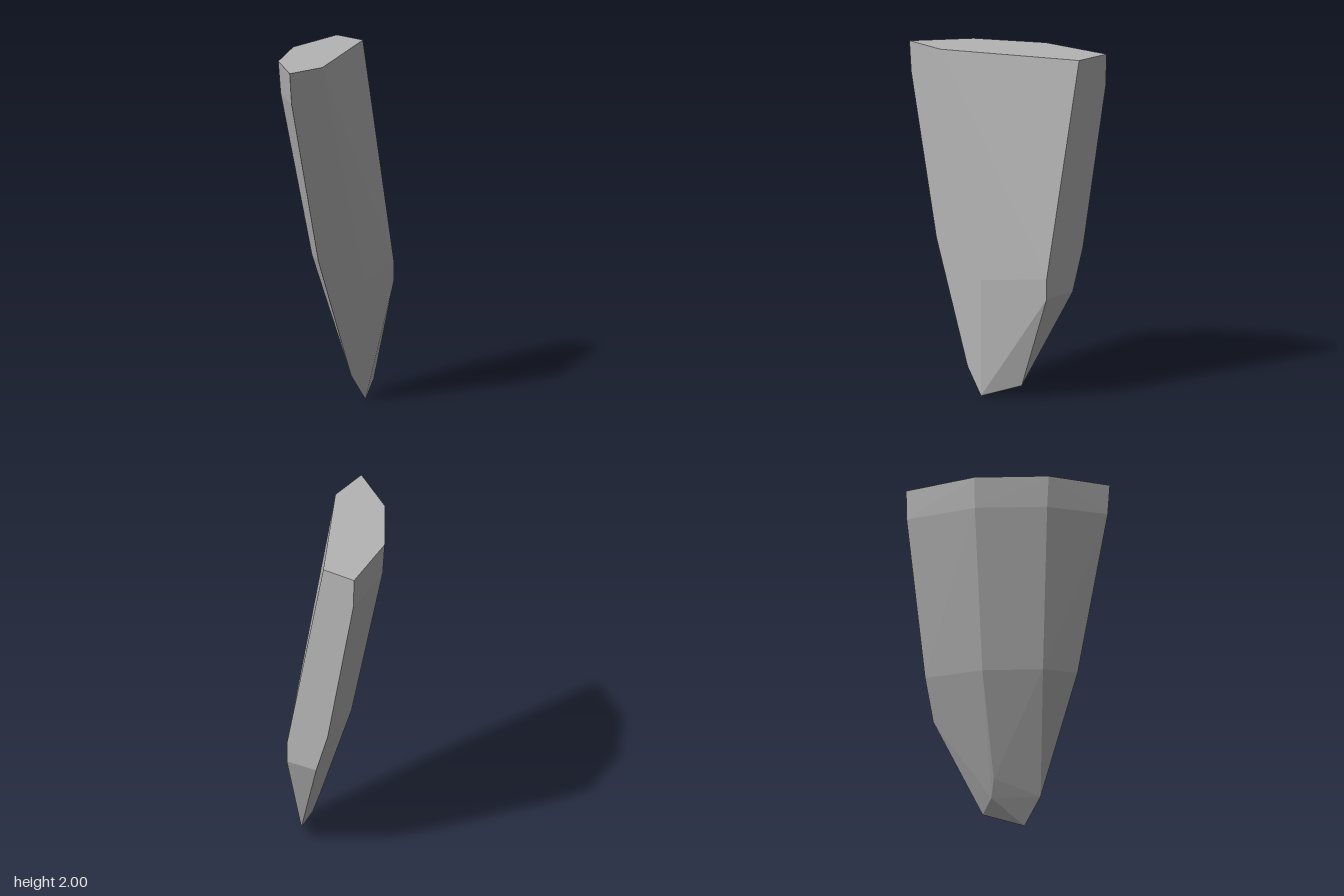
import * as THREE from 'three';
import { ConvexGeometry } from 'three/addons/geometries/ConvexGeometry.js';

// Corners of the shard, grouped by the edges that run down it: [x, y, z]
const EDGES = {
  back: [[-0.315, 2, -0.5], [-0.31, 1.82, -0.5], [-0.13, 0.88, -0.5], [-0.05, 0.63, -0.5]],
  outer: [[-0.235, 2, -0.07], [-0.225, 1.81, -0.075], [-0.055, 0.86, -0.146], [0.13, 0.255, -0.2], [0.155, 0.15, -0.235]],
  front: [[0.005, 2, 0.285], [0.01, 1.81, 0.27], [0.14, 0.86, 0.145]],
  frontSide: [[0.315, 2, 0.495], [0.315, 1.82, 0.48], [0.315, 0.87, 0.265], [0.315, 0.155, 0]],
  side: [[0.315, 2, 0.23], [0.315, 0.69, -0.115]],
  backSide: [[-0.1, 2, -0.5], [0.155, 0.74, -0.5], [0.155, 0.62, -0.5]],
  tip: [[0.18, 0.075, -0.315], [0.315, 0, -0.115]],
};

export function createModel() {
  const stone = new THREE.MeshStandardMaterial({ color: 0xb4b4b4 });
  stone.name = 'grey stone';

  // Flat-faceted convex shard
  const corners = Object.values(EDGES).flat().map((p) => new THREE.Vector3(...p));
  const shard = new THREE.Mesh(new ConvexGeometry(corners), stone);
  shard.name = 'rockShard';

  const group = new THREE.Group();
  group.name = 'rock';
  group.add(shard);
  return group;
}
